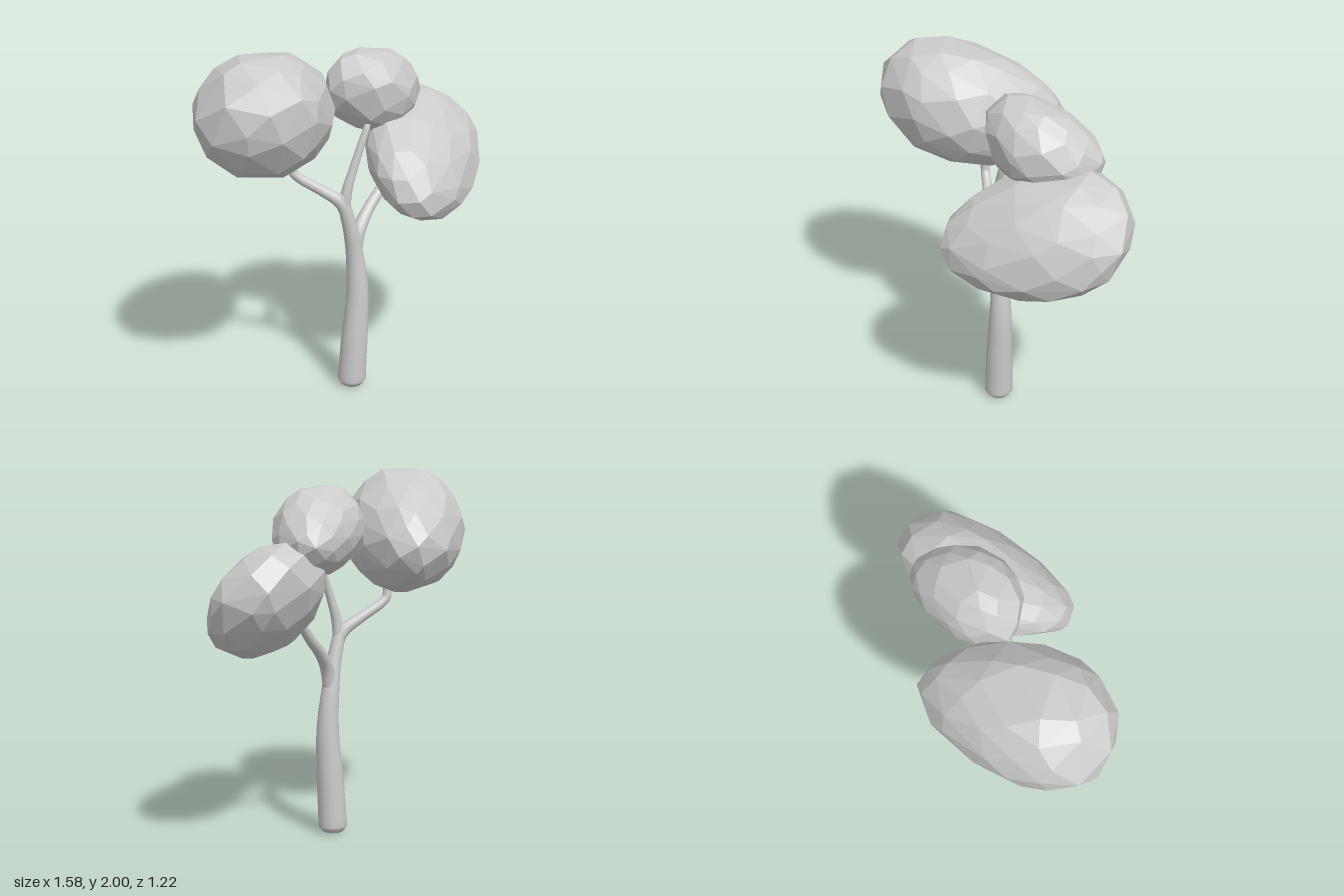
import * as THREE from 'three';
import { ConvexGeometry } from 'three/addons/geometries/ConvexGeometry.js';

const barkMaterial = new THREE.MeshStandardMaterial({ color: 0xcccccc });
const leafMaterial = new THREE.MeshStandardMaterial({ color: 0xcccccc, flatShading: true });

// Small repeatable number source in 0..1
function seeded(seed) {
  let s = seed;
  return () => (s = (s * 16807) % 2147483647) / 2147483647;
}

// Smooth tapering round limb through [x, y, z, radius] points
function limb(name, pts) {
  const curve = new THREE.CatmullRomCurve3(pts.map(p => new THREE.Vector3(p[0], p[1], p[2])));
  const sides = 20, perSpan = 5, rings = (pts.length - 1) * perSpan;
  const pos = [], index = [];
  const zAxis = new THREE.Vector3(0, 0, 1);
  for (let i = 0; i <= rings; i++) {
    const t = i / rings;
    const k = Math.min(Math.floor(i / perSpan), pts.length - 2);
    const r = THREE.MathUtils.lerp(pts[k][3], pts[k + 1][3], i / perSpan - k);
    const c = curve.getPoint(t), dir = curve.getTangent(t);
    const u = new THREE.Vector3().crossVectors(dir, zAxis).normalize();
    const v = new THREE.Vector3().crossVectors(u, dir);
    for (let j = 0; j < sides; j++) {
      const a = (j / sides) * Math.PI * 2;
      const p = c.clone().addScaledVector(u, Math.cos(a) * r).addScaledVector(v, Math.sin(a) * r);
      pos.push(p.x, p.y, p.z);
      if (i < rings) {
        const n = (j + 1) % sides, b = i * sides;
        index.push(b + j, b + sides + j, b + n, b + n, b + sides + j, b + sides + n);
      }
    }
  }
  const geo = new THREE.BufferGeometry();
  geo.setAttribute('position', new THREE.Float32BufferAttribute(pos, 3));
  geo.setIndex(index);
  geo.computeVertexNormals();
  const mesh = new THREE.Mesh(geo, barkMaterial);
  mesh.name = name;
  return mesh;
}

// Faceted leaning egg filling the box min..max; xz, xy, yz are its lean terms,
// egg > 0 makes the front end fatter and egg < 0 the back end
function foliage(name, min, max, [xz, xy, yz], egg, count, seed) {
  const rand = seeded(seed);
  const [hx, hy, hz] = min.map((m, i) => (max[i] - m) / 2);
  const zx = xz / hz, zy = yz / hz;
  const xx = Math.sqrt(hx * hx - zx * zx);
  const yx = (xy - zx * zy) / xx;
  const yy = Math.sqrt(hy * hy - zy * zy - yx * yx);
  const points = [];
  for (let i = 0; i < count; i++) {
    const h = THREE.MathUtils.clamp(1 - (2 * i + 1) / count + (rand() - 0.5) * 0.1, -1, 1);
    const a = i * 2.39996 + (rand() - 0.5) * 0.3;
    const w = Math.sqrt(1 - h * h);
    const p = new THREE.Vector3(w * Math.cos(a), h, w * Math.sin(a)).multiplyScalar(0.98 + 0.03 * rand());
    const f = 1 + egg * p.z;
    points.push(new THREE.Vector3(zx * p.z + xx * p.x * f, zy * p.z + (yx * p.x + yy * p.y) * f, hz * p.z));
  }
  // Fit exactly into the box
  const box = new THREE.Box3().setFromPoints(points), size = box.getSize(new THREE.Vector3());
  const lo = new THREE.Vector3(...min), span = new THREE.Vector3(...max).sub(lo);
  points.forEach(p => p.sub(box.min).divide(size).multiply(span).add(lo));
  const mesh = new THREE.Mesh(new ConvexGeometry(points), leafMaterial);
  mesh.name = name;
  return mesh;
}

export function createModel() {
  const tree = new THREE.Group();
  tree.name = 'tree';

  // Trunk with rounded foot, narrowing into the upper fork
  tree.add(limb('trunk', [
    [0.04, 0, 0.022, 0.001], [0.04, 0.006, 0.022, 0.055], [0.04, 0.04, 0.022, 0.08],
    [0.054, 0.3, 0.021, 0.075], [0.07, 0.58, 0.016, 0.062], [0.054, 0.8, 0.018, 0.049],
    [0.03, 0.95, 0.036, 0.041], [0, 1.08, 0.05, 0.036], [-0.015, 1.16, 0.055, 0.026], [-0.016, 1.18, 0.055, 0.001],
  ]));

  // Branches
  tree.add(limb('rightBranch', [
    [0.01, 1.04, 0.048, 0.032], [-0.03, 1.125, 0.055, 0.035], [-0.13, 1.195, 0.055, 0.029],
    [-0.255, 1.275, 0.058, 0.026], [-0.283, 1.31, 0.06, 0.025], [-0.28, 1.4, 0.062, 0.022], [-0.279, 1.415, 0.062, 0.001],
  ]));
  tree.add(limb('upperBranch', [
    [-0.002, 1.06, 0.05, 0.032], [0.005, 1.17, 0.052, 0.03], [0.045, 1.31, 0.04, 0.023],
    [0.115, 1.52, 0.015, 0.019], [0.122, 1.545, 0.012, 0.015], [0.125, 1.555, 0.011, 0.001],
  ]));
  tree.add(limb('leftBranch', [
    [0.055, 0.8, 0.018, 0.038], [0.08, 0.935, -0.005, 0.038], [0.14, 1.035, -0.075, 0.032],
    [0.205, 1.11, -0.14, 0.029], [0.27, 1.2, -0.2, 0.025], [0.278, 1.21, -0.208, 0.001],
  ]));

  // Leaf masses
  tree.add(foliage('rightFoliage', [-0.79, 1.32, -0.39], [-0.06, 2, 0.61], [-0.052, -0.008, 0.033], 0.2, 76, 11));
  tree.add(foliage('upperFoliage', [-0.1, 1.46, -0.5], [0.44, 1.93, 0.1], [-0.028, -0.01, 0.015], 0.2, 70, 29));
  tree.add(foliage('leftFoliage', [0.12, 1.02, -0.61], [0.79, 1.65, 0.36], [-0.055, -0.018, -0.053], -0.2, 74, 47));
  return tree;
}
